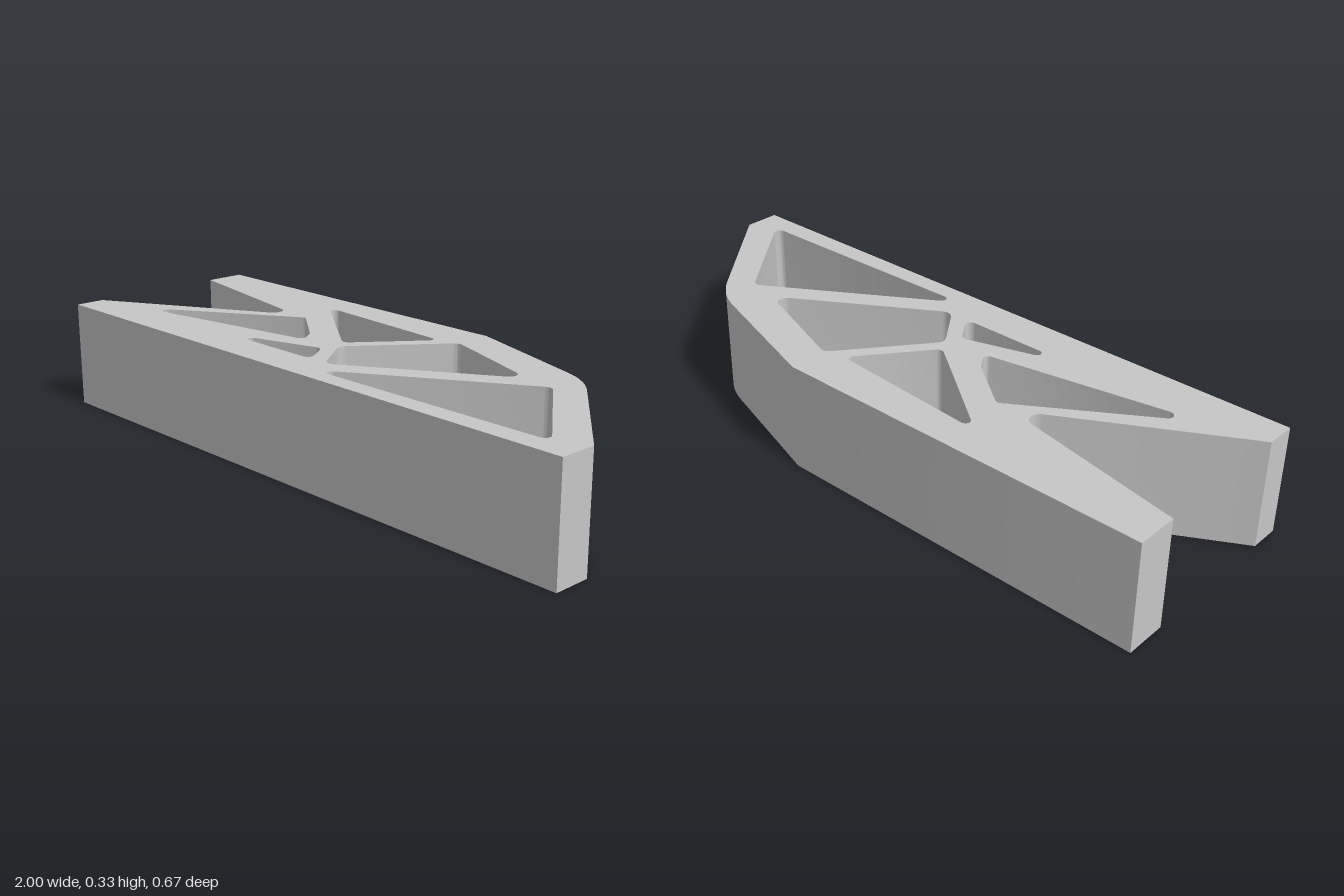
import * as THREE from 'three';
import { toCreasedNormals } from 'three/addons/utils/BufferGeometryUtils.js';

const HEIGHT = 0.333;

// Traces a closed polygon of [x, z, radius] corners, replacing each rounded corner by a true arc.
function roundedLoop(corners, steps = 8) {
  const points = [];
  const n = corners.length;
  corners.forEach(([x, z, r = 0], i) => {
    const p = new THREE.Vector2(x, z);
    if (!r) { points.push(p); return; }
    const [ax, az] = corners[(i + n - 1) % n];
    const [bx, bz] = corners[(i + 1) % n];
    const a = new THREE.Vector2(ax, az).sub(p).normalize();
    const b = new THREE.Vector2(bx, bz).sub(p).normalize();
    const half = Math.acos(a.dot(b)) / 2;
    const centre = a.clone().add(b).normalize().multiplyScalar(r / Math.sin(half)).add(p);
    const start = a.clone().multiplyScalar(r / Math.tan(half)).add(p).sub(centre);
    const end = b.clone().multiplyScalar(r / Math.tan(half)).add(p).sub(centre);
    const sweep = Math.atan2(start.cross(end), start.dot(end));
    for (let k = 0; k <= steps; k++) {
      points.push(start.clone().rotateAround(new THREE.Vector2(), sweep * k / steps).add(centre));
    }
  });
  return points;
}

export function createModel() {
  const grey = new THREE.MeshStandardMaterial({ color: 0xc6c6c6 });
  grey.name = 'light grey';

  // Outer outline, with the tapered nose at +x and the open notch at -x
  const outline = [
    [-1, -0.333], [0.18, -0.333], [0.668, -0.178, 0.29], [1, 0.22],
    [1, 0.333], [-1, 0.333], [-1, 0.24], [-0.414, -0.094, 0.031], [-1, -0.205],
  ];

  // Openings between the struts
  const openings = [
    [[-0.407, -0.232, 0.015], [0.115, -0.196, 0.015], [-0.059, 0.028, 0.02]],
    [[0.18, -0.214, 0.025], [0.546, -0.084, 0.027], [0.071, 0.215, 0.032], [-0.036, 0.064, 0.03]],
    [[0.647, -0.068, 0.025], [0.914, 0.265, 0.018], [0.099, 0.277, 0.016]],
    [[-0.36, -0.091, 0.015], [-0.204, 0.027, 0.02], [-0.166, 0.085, 0.016], [-0.815, 0.203, 0.018]],
    [[-0.055, 0.113, 0.025], [0.007, 0.209, 0.017], [-0.365, 0.209, 0.0145]],
  ];

  const shape = new THREE.Shape(roundedLoop(outline));
  shape.holes = openings.map((corners) => new THREE.Path(roundedLoop(corners)));

  // Extrude, then lay flat so the outline lies in the ground plane
  const solid = new THREE.ExtrudeGeometry(shape, { depth: HEIGHT, bevelEnabled: false });
  solid.rotateX(Math.PI / 2);
  solid.translate(0, HEIGHT, 0);

  const truss = new THREE.Mesh(toCreasedNormals(solid, 0.45), grey);
  truss.name = 'trussBracket';

  const model = new THREE.Group();
  model.name = 'bracket';
  model.add(truss);
  return model;
}
